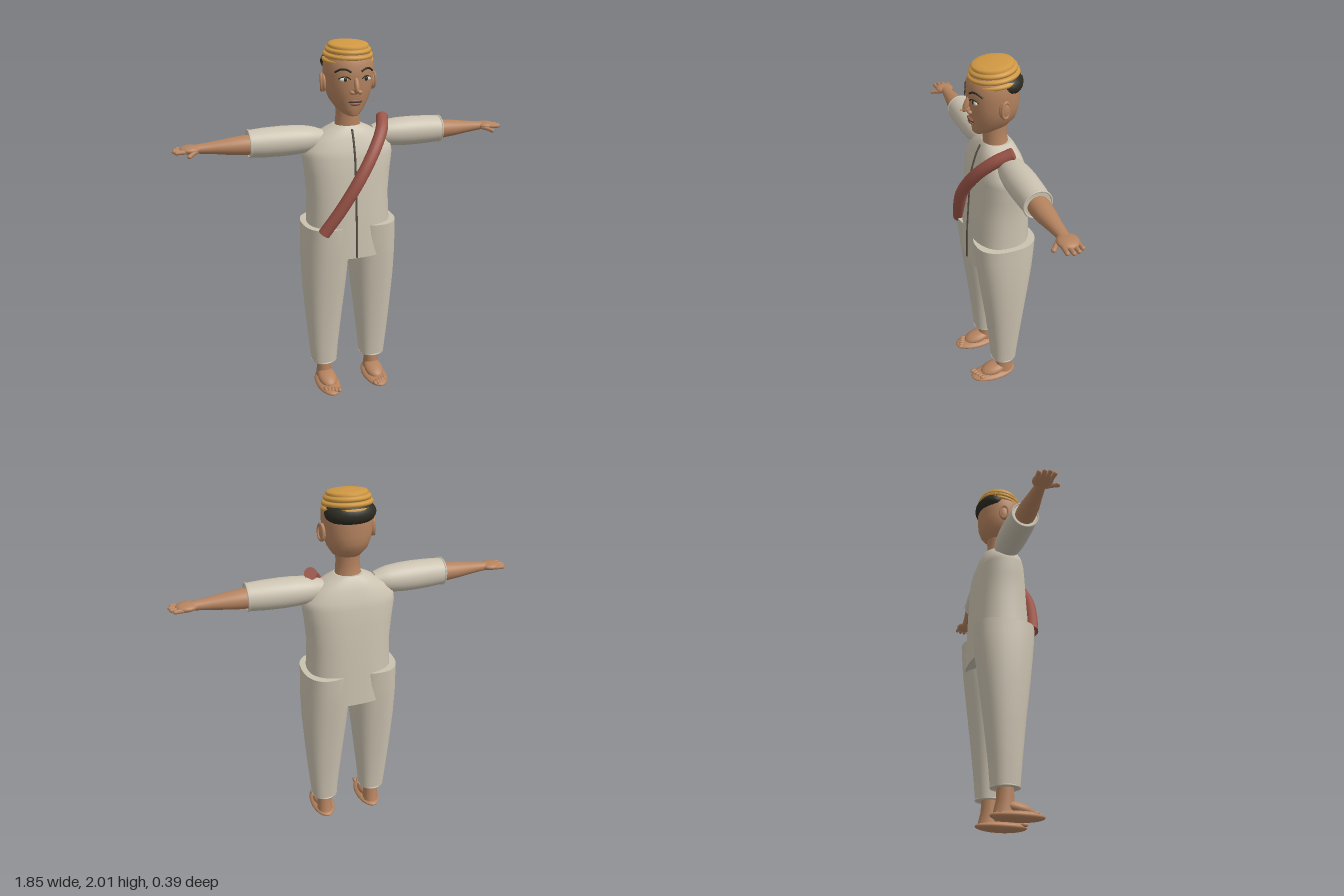
import * as THREE from 'three';

const mat = (name, color, extra = {}) => Object.assign(new THREE.MeshStandardMaterial({ color, ...extra }), { name });

// Section rows: [y, half width x, centre z, half depth z, centre x]
const TORSO = [
  [0.86, 0.235, -0.025, 0.165], [1.04, 0.233, -0.025, 0.161], [1.2, 0.226, -0.028, 0.153],
  [1.33, 0.238, -0.03, 0.145], [1.42, 0.25, -0.031, 0.135], [1.46, 0.244, -0.032, 0.126],
  [1.52, 0.195, -0.032, 0.107], [1.56, 0.12, -0.032, 0.088], [1.58, 0.075, -0.032, 0.072],
];
const HEAD = [
  [1.64, 0.025, 0.055, 0.03], [1.65, 0.045, 0.035, 0.06], [1.68, 0.075, 0.005, 0.094],
  [1.72, 0.102, -0.01, 0.115], [1.76, 0.117, -0.013, 0.125], [1.8, 0.125, -0.013, 0.129],
  [1.85, 0.129, -0.012, 0.131], [1.9, 0.13, -0.012, 0.13], [1.95, 0.115, -0.015, 0.115], [1.975, 0.07, -0.02, 0.07],
];

// Skin over superellipse sections, with capped ends
function loft(rows, p = 2, n = 40) {
  const pos = [], idx = [];
  const ring = ([y, hx, zc, hz, xc = 0]) => {
    for (let j = 0; j < n; j++) {
      const a = (j / n) * Math.PI * 2, c = Math.cos(a), s = Math.sin(a);
      pos.push(xc + hx * Math.sign(c) * Math.abs(c) ** (2 / p), y, zc + hz * Math.sign(s) * Math.abs(s) ** (2 / p));
    }
  };
  rows.forEach(ring);
  for (let i = 0; i < rows.length - 1; i++) for (let j = 0; j < n; j++) {
    const a = i * n + j, b = i * n + (j + 1) % n;
    idx.push(a, a + n, b, b, a + n, b + n);
  }
  [rows[0], rows[rows.length - 1]].forEach((r, k) => {
    const o = pos.length / 3;
    ring(r);
    pos.push(r[4] ?? 0, r[0], r[2]);
    for (let j = 0; j < n; j++) {
      const u = o + j, v = o + (j + 1) % n;
      idx.push(o + n, k ? v : u, k ? u : v);
    }
  });
  const g = new THREE.BufferGeometry();
  g.setAttribute('position', new THREE.Float32BufferAttribute(pos, 3));
  g.setIndex(idx);
  g.computeVertexNormals();
  return g;
}

// Front surface depth of a lofted body at (x, y)
function frontZ(rows, p, x, y) {
  const i = Math.max(1, rows.findIndex((r) => r[0] >= y));
  const t = (y - rows[i - 1][0]) / (rows[i][0] - rows[i - 1][0]);
  const [, hx, zc, hz] = rows[i].map((v, k) => THREE.MathUtils.lerp(rows[i - 1][k], v, t));
  return zc + hz * Math.max(0, 1 - (Math.abs(x) / hx) ** p) ** (1 / p);
}

export function createModel() {
  const root = new THREE.Group();
  root.name = 'figure';
  const skin = mat('skin', 0xb5835f), cloth = mat('cloth', 0xcbc2b0), gold = mat('capGold', 0xd09843);
  const sashRed = mat('sashRed', 0x9c5548), hairDark = mat('hairDark', 0x2c2b22);
  const seam = mat('seamGrey', 0x5a5449), white = mat('eyeWhite', 0xd8d0c0), lip = mat('lipBrown', 0x8f5c48);

  const add = (name, geo, m, x = 0, y = 0, z = 0) => {
    const o = new THREE.Mesh(geo, m);
    o.name = name;
    o.position.set(x, y, z);
    root.add(o);
    return o;
  };
  const ball = (name, m, p, s) => {
    const o = add(name, new THREE.SphereGeometry(1, 24, 16), m, ...p);
    o.scale.set(...s);
    return o;
  };
  const tube = (name, m, pts, r, seg = 24, sides = 8) =>
    add(name, new THREE.TubeGeometry(new THREE.CatmullRomCurve3(pts.map((q) => new THREE.Vector3(...q))), seg, r, sides), m);

  // Shirt and its front seam
  add('shirt', loft(TORSO, 2.5), cloth);
  const seamPts = [];
  for (let i = 0; i <= 24; i++) {
    const y = 0.865 + (i / 24) * 0.7;
    seamPts.push([0, y, frontZ(TORSO, 2.5, 0, y) + 0.001]);
  }
  tube('shirtSeam', seam, seamPts, 0.006, 48, 6);

  // Neck, head, hair
  add('neck', loft([[1.54, 0.074, -0.03, 0.07], [1.59, 0.067, -0.025, 0.064], [1.64, 0.062, -0.022, 0.062], [1.7, 0.066, -0.025, 0.066]]), skin);
  add('head', loft(HEAD, 2.15), skin);
  ball('hair', hairDark, [0, 1.905, -0.062], [0.132, 0.07, 0.098]);

  // Ribbed cap: bulging bands narrowing to a flat dome
  const prof = [[0.0, -0.01]];
  [[0.134, 0.005], [0.13, 0.031], [0.12, 0.056]].forEach(([r, y]) =>
    prof.push([r - 0.013, y - 0.013], [r - 0.002, y - 0.008], [r, y], [r - 0.002, y + 0.008], [r - 0.013, y + 0.012]));
  prof.push([0.104, 0.071], [0.107, 0.078], [0.1, 0.086], [0.07, 0.092], [0, 0.095]);
  const cap = add('cap', new THREE.LatheGeometry(prof.map((q) => new THREE.Vector2(...q)), 40), gold, 0, 1.905 + 0.013, -0.012);
  cap.rotation.x = 0.1;
  cap.position.y = 1.914;
  cap.position.z = -0.02;

  // Nose and mouth
  const face = (x, y, d = 0) => [x, y, frontZ(HEAD, 2.15, x, y) + d];
  const bridge = ball('noseBridge', skin, [0, 1.805, 0.124], [0.014, 0.045, 0.016]);
  bridge.rotation.x = -0.4;
  const tip = add('noseTip', new THREE.ConeGeometry(0.024, 0.06, 16), skin, 0, 1.778, 0.133);
  tip.rotation.x = Math.PI / 2;
  ball('upperLip', lip, face(0, 1.724, 0.002), [0.034, 0.008, 0.012]);
  ball('lowerLip', lip, face(0, 1.707, 0.002), [0.028, 0.009, 0.012]);
  tube('mouthLine', hairDark, [-0.036, -0.018, 0, 0.018, 0.036].map((x) => face(x, 1.716, 0.011 - Math.abs(x) * 0.25)), 0.0025);

  for (const s of [1, -1]) {
    // Face details
    ball('nostril', skin, [s * 0.02, 1.768, 0.114], [0.014, 0.011, 0.016]);
    ball('eye', white, face(s * 0.058, 1.833, -0.003), [0.026, 0.012, 0.01]);
    ball('iris', hairDark, face(s * 0.056, 1.834, 0.003), [0.01, 0.01, 0.006]);
    tube('eyelid', hairDark, [[0.03, 1.835], [0.045, 1.846], [0.066, 1.847], [0.086, 1.836]].map(([x, y]) => face(s * x, y, 0.004)), 0.003);
    tube('eyebrow', hairDark, [[0.026, 1.87], [0.05, 1.883], [0.075, 1.884], [0.1, 1.868]].map(([x, y]) => face(s * x, y, 0.001)), 0.005);
    ball('ear', skin, [s * 0.132, 1.803, -0.022], [0.016, 0.046, 0.03]);
    const rim = add('earRim', new THREE.TorusGeometry(0.03, 0.007, 8, 24), skin, s * 0.142, 1.806, -0.024);
    rim.rotation.y = Math.PI / 2 + s * 0.3;
    rim.scale.set(0.8, 1.35, 1);

    // Arms: section rows run outward along x
    const arm = (name, m, y, rows, p) => { add(name, loft(rows, p), m, 0, y, 0).rotation.z = -s * Math.PI / 2; };
    arm('sleeve', cloth, 1.512, [[0.14, 0.045, -0.03, 0.05], [0.18, 0.06, -0.03, 0.062], [0.22, 0.07, -0.03, 0.072],
      [0.29, 0.077, -0.029, 0.079], [0.36, 0.079, -0.028, 0.08], [0.45, 0.077, -0.026, 0.077], [0.535, 0.071, -0.024, 0.072]]);
    const cuff = add('cuff', new THREE.TorusGeometry(0.071, 0.005, 8, 32), cloth, s * 0.535, 1.512, -0.024);
    cuff.rotation.y = Math.PI / 2;
    arm('forearm', skin, 1.507, [[0.5, 0.05, -0.025, 0.052], [0.56, 0.051, -0.025, 0.054], [0.63, 0.044, -0.025, 0.049],
      [0.71, 0.033, -0.026, 0.037], [0.78, 0.025, -0.027, 0.029], [0.83, 0.02, -0.028, 0.033]]);

    // Hand
    ball('palm', skin, [s * 0.832, 1.508, -0.028], [0.056, 0.022, 0.052]);
    [[-0.066, 0.893], [-0.042, 0.908], [-0.017, 0.912], [0.008, 0.903]].forEach(([z, end]) => {
      const f = add('finger', new THREE.CapsuleGeometry(0.011, 0.06, 4, 10), skin, s * (end - 0.03), 1.504, z);
      f.rotation.z = Math.PI / 2;
      f.rotation.y = s * (z + 0.028) * -2;
    });
    tube('thumb', skin, [[s * 0.8, 1.502, 0], [s * 0.825, 1.496, 0.025], [s * 0.842, 1.49, 0.042]], 0.011);
    ball('thumbTip', skin, [s * 0.844, 1.489, 0.044], [0.012, 0.011, 0.012]);

    // Trouser leg and hem
    add('trouserLeg', loft([[0.16, 0.074, -0.024, 0.073, s * 0.15], [0.3, 0.087, -0.024, 0.085, s * 0.151],
      [0.5, 0.106, -0.025, 0.107, s * 0.148], [0.7, 0.123, -0.025, 0.133, s * 0.143],
      [0.86, 0.131, -0.026, 0.153, s * 0.138], [0.96, 0.131, -0.026, 0.163, s * 0.135],
      [1.04, 0.129, -0.026, 0.168, s * 0.135]], 2.4), cloth);
    const hem = add('hem', new THREE.TorusGeometry(0.073, 0.005, 8, 32), cloth, s * 0.15, 0.162, -0.024);
    hem.rotation.x = Math.PI / 2;

    // Foot
    add('ankle', loft([[0.04, 0.046, -0.03, 0.055, s * 0.15], [0.1, 0.042, -0.024, 0.046, s * 0.15], [0.18, 0.044, -0.024, 0.042, s * 0.15]]), skin);
    ball('sole', skin, [s * 0.148, 0.027, 0.04], [0.07, 0.027, 0.142]);
    const instep = ball('instep', skin, [s * 0.148, 0.062, 0.035], [0.054, 0.034, 0.085]);
    instep.rotation.x = 0.2;
    for (let i = 0; i < 5; i++)
      ball('toe', skin, [s * (0.112 + i * 0.018), 0.04, 0.158 - i * 0.009], [0.012, 0.012, 0.02]);
  }

  // Shoulder sash with closed ends
  const sash = [[0.205, 1.6, -0.04], [0.17, 1.55, 0.045], [0.105, 1.46, 0.115], [0.01, 1.32, 0.158], [-0.09, 1.16, 0.15], [-0.182, 1.02, 0.122]];
  tube('sash', sashRed, sash, 0.033, 32, 16);
  const curve = new THREE.CatmullRomCurve3(sash.map((q) => new THREE.Vector3(...q)));
  [0, 1].forEach((t) => {
    const end = add('sashEnd', new THREE.CircleGeometry(0.033, 16), sashRed);
    end.position.copy(curve.getPoint(t));
    end.lookAt(end.position.clone().add(curve.getTangent(t).multiplyScalar(t ? 1 : -1)));
  });
  return root;
}
